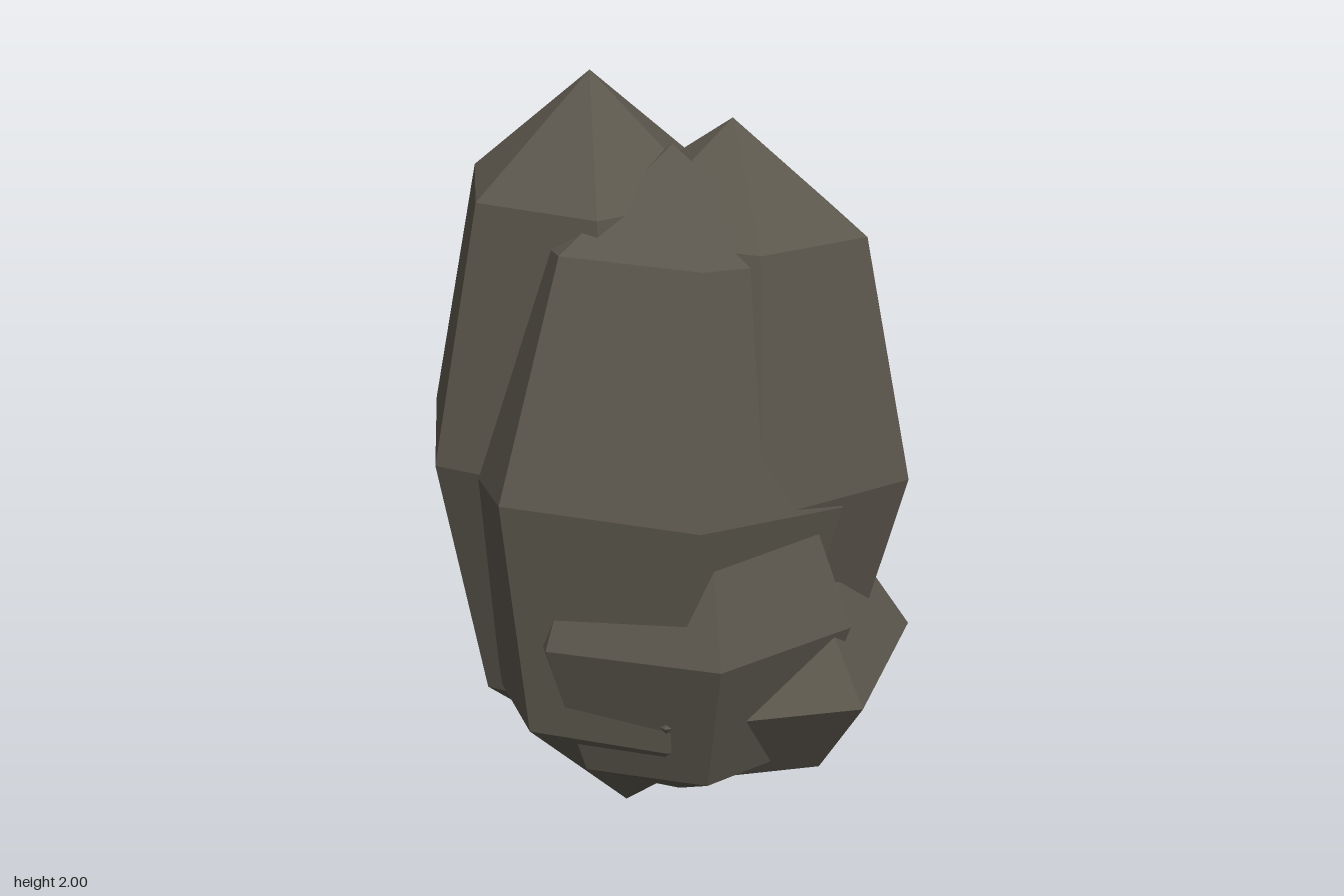
import * as THREE from 'three';

const stone = new THREE.MeshStandardMaterial({ color: 0x5c574d, flatShading: true });
stone.name = 'dark stone';

// Six-sided barrel crystal running from a bottom tip to a top tip.
// angle: direction of one corner in degrees, measured from +x towards +z.
function crystal(name, bottom, top, radius, angle) {
  const a = new THREE.Vector3(...bottom);
  const axis = new THREE.Vector3(...top).sub(a);
  const length = axis.length();
  const profile = [[0, 0], [0.71, 0.15], [1, 0.5], [0.71, 0.85], [0, 1]]
    .map(([r, t]) => new THREE.Vector2(r * radius, t * length));
  const geometry = new THREE.LatheGeometry(profile, 6, THREE.MathUtils.degToRad(90 - angle));
  const mesh = new THREE.Mesh(geometry, stone);
  mesh.name = name;
  mesh.position.copy(a);
  mesh.quaternion.setFromUnitVectors(new THREE.Vector3(0, 1, 0), axis.normalize());
  return mesh;
}

export function createModel() {
  const model = new THREE.Group();
  model.name = 'rockCluster';
  model.add(
    // Three tall leaning columns
    crystal('tallColumn', [-0.27, 0, 0.02], [-0.15, 2, 0.14], 0.495, 43),
    crystal('backColumn', [0.045, 0.02, -0.09], [0.11, 1.87, -0.13], 0.54, 36),
    crystal('frontColumn', [0.07, 0.025, 0.245], [0.065, 1.82, 0.055], 0.53, 33),
    // Squat boulder at the base
    crystal('baseBoulder', [0.15, 0.1, -0.06], [0.19, 0.77, -0.02], 0.53, 5),
    // Buried stone whose corners break through the columns
    crystal('buriedStone', [0.18, 0.06, 0.15], [0.18, 1.12, 0.145], 0.47, 35),
  );
  return model;
}
